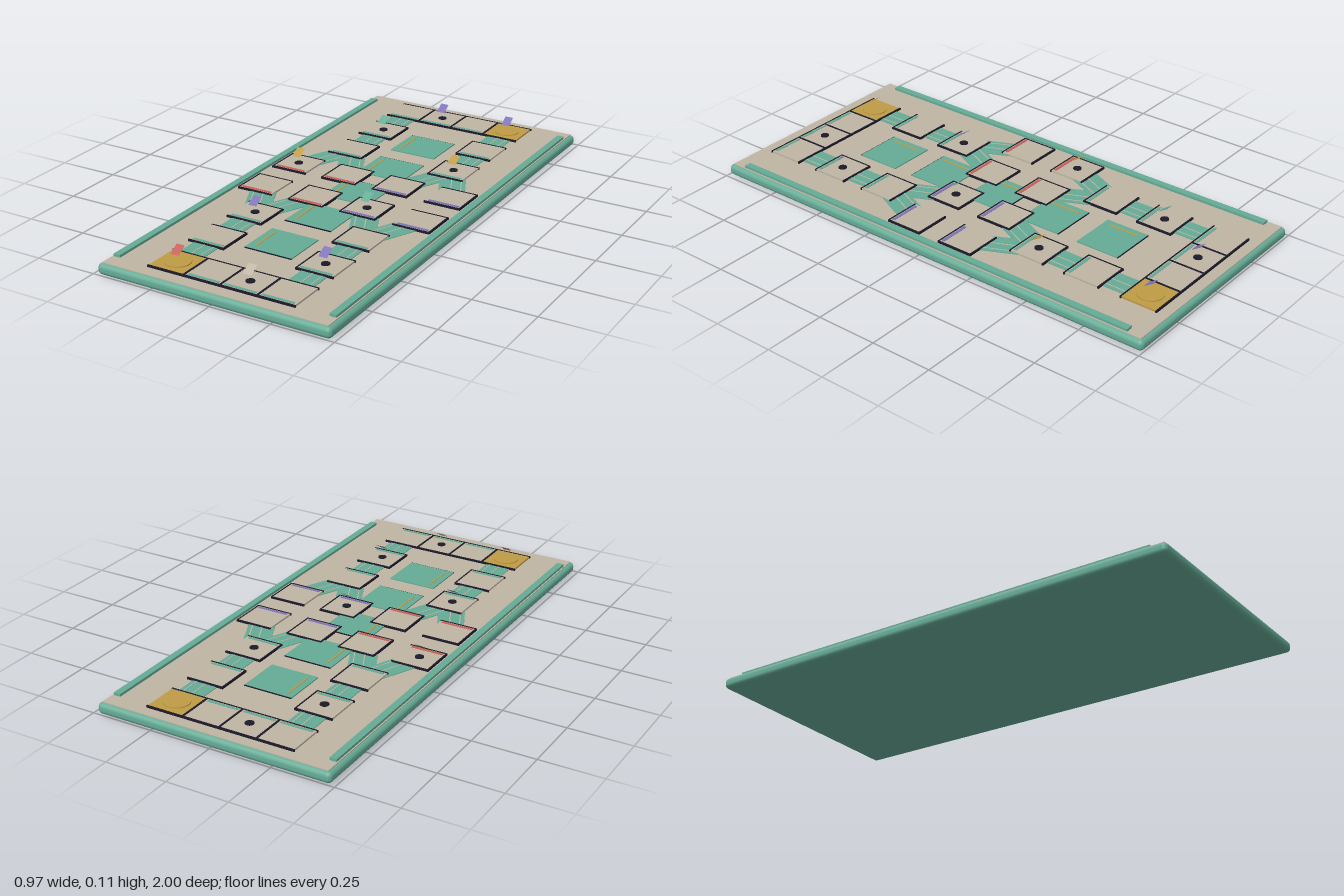
import * as THREE from 'three';
import { RoundedBoxGeometry } from 'three/addons/geometries/RoundedBoxGeometry.js';

const paint = (name, color) => {
  const m = new THREE.MeshStandardMaterial({ color });
  m.name = name;
  return m;
};

export function createModel() {
  const root = new THREE.Group();
  root.name = 'gameBoard';
  const teal = paint('teal', 0x66ab96);
  const beige = paint('beige', 0xc0b5a3);
  const gold = paint('gold', 0xbf9b45);
  const red = paint('red', 0xc65f58);
  const purple = paint('purple', 0x7d73b8);
  const dark = paint('navy', 0x1c1a2a);
  for (const m of [teal, beige, gold, red, purple]) m.side = THREE.DoubleSide;

  const add = (parent, name, geo, mat, x, y, z, turn = 0) => {
    const mesh = new THREE.Mesh(geo, mat);
    mesh.name = name;
    mesh.position.set(x, y, z);
    mesh.rotation.y = turn;
    parent.add(mesh);
    return mesh;
  };
  // Box given by its width, depth and top and bottom heights
  const slab = (parent, name, mat, x, z, w, d, y0, y1, turn = 0) =>
    add(parent, name, new THREE.BoxGeometry(w, y1 - y0, d), mat, x, (y0 + y1) / 2, z, turn);
  const group = (name) => {
    const g = new THREE.Group();
    g.name = name;
    root.add(g);
    return g;
  };

  // Base with rounded rim and inlaid top
  add(root, 'base', new RoundedBoxGeometry(0.968, 0.044, 2, 4, 0.018), teal, 0, 0.022, 0);
  slab(root, 'playField', beige, 0, 0, 0.938, 1.97, 0.03, 0.047);
  for (const s of [-1, 1]) slab(root, 'sideRail', teal, s * 0.45, 0, 0.028, 1.85, 0.047, 0.057);

  const rowZ = (r) => (r - 3.5) * 0.2457 - 0.003;
  const size = 0.15;

  // Paths joining the tile centres, with two thin guide lines
  const paths = group('paths');
  const path = (x0, z0, x1, z1) => {
    const length = Math.hypot(x1 - x0, z1 - z0);
    const turn = Math.atan2(x1 - x0, z1 - z0);
    const cx = (x0 + x1) / 2, cz = (z0 + z1) / 2;
    slab(paths, 'path', teal, cx, cz, 0.105, length, 0.046, 0.0495, turn);
    for (const o of [-0.004, 0.035]) {
      slab(paths, 'pathLine', beige, cx + o * Math.cos(turn), cz - o * Math.sin(turn),
        0.004, length, 0.048, 0.0505, turn);
    }
  };
  for (const s of [-1, 1]) {
    for (const r of [0, 1, 5, 6]) path(s * 0.23, rowZ(r), s * 0.23, rowZ(r + 1));
    for (const [a, b] of [[2, 3], [5, 4]]) {
      for (const x of [0.115, 0.345]) path(s * 0.23, rowZ(a), s * x, rowZ(b));
    }
  }

  // Pads down the middle, each with a gold line
  const pads = group('centrePads');
  for (let i = -2; i <= 2; i++) {
    const z = i * 0.2695;
    slab(pads, 'pad', teal, 0, z, 0.2, 0.182, 0.046, 0.0515);
    slab(pads, 'padBackEdge', dark, 0, z - Math.sign(-i || 1) * 0.092, 0.2, 0.003, 0.046, 0.051);
    slab(pads, 'padLine', gold, -0.07, z, 0.007, 0.13, 0.05, 0.053);
  }

  // Tiles: dark borders on the given sides, a coloured line near the front
  const tiles = group('tiles');
  const tile = (x, z, sides, top, line) => {
    slab(tiles, 'tile', top, x, z, size, size, 0.046, 0.054);
    for (const s of [-1, 1]) {
      slab(tiles, 'tileBorder', dark, x, z + s * size / 2, size + 0.006, 0.006, 0.046, 0.055);
    }
    for (const s of sides) {
      slab(tiles, 'tileBorder', dark, x + s * size / 2, z, 0.006, size, 0.046, 0.055);
    }
    if (line) slab(tiles, 'tileLine', line, x, z + 0.062, 0.13, 0.012, 0.053, 0.0555);
  };
  for (let r = 0; r < 8; r++) {
    const z = rowZ(r);
    for (const s of [-1, 1]) {
      if (r === 3 || r === 4) {
        const line = s < 0 ? red : purple;
        tile(s * 0.345, z, [s], beige, line);
        tile(s * 0.115, z, [-1, 1], beige, line);
      } else {
        const isGold = (r === 0 && s > 0) || (r === 7 && s < 0);
        tile(s * 0.23, z, [-s], isGold ? gold : beige, isGold ? null : teal);
        if (r === 0 || r === 7) tile(s * 0.0765, z, [-1, 1], beige, teal);
        if (isGold) {
          add(tiles, 'goldDisc', new THREE.CylinderGeometry(0.05, 0.05, 0.005, 32), gold, s * 0.23, 0.0555, z);
        }
      }
    }
  }

  // Tilted tags floating over small round markers
  const tags = group('tags');
  const tagGeo = new THREE.PlaneGeometry(0.035, 0.046);
  const dotGeo = new THREE.CylinderGeometry(0.017, 0.017, 0.004, 20);
  const spots = [
    [-0.0765, 0, purple], [0.23, 0, purple, true], [-0.23, 1, teal], [0.23, 2, gold],
    [-0.345, 3, gold], [0.115, 4, teal], [-0.23, 5, purple], [0.23, 6, purple],
    [-0.23, 7, red, true], [0.0765, 7, beige],
  ];
  for (const [x, r, mat, onGold] of spots) {
    add(tags, 'tag', tagGeo, mat, x, 0.101, rowZ(r)).rotation.x = -1.01;
    if (!onGold) add(tags, 'marker', dotGeo, dark, x, 0.056, rowZ(r));
  }
  return root;
}
